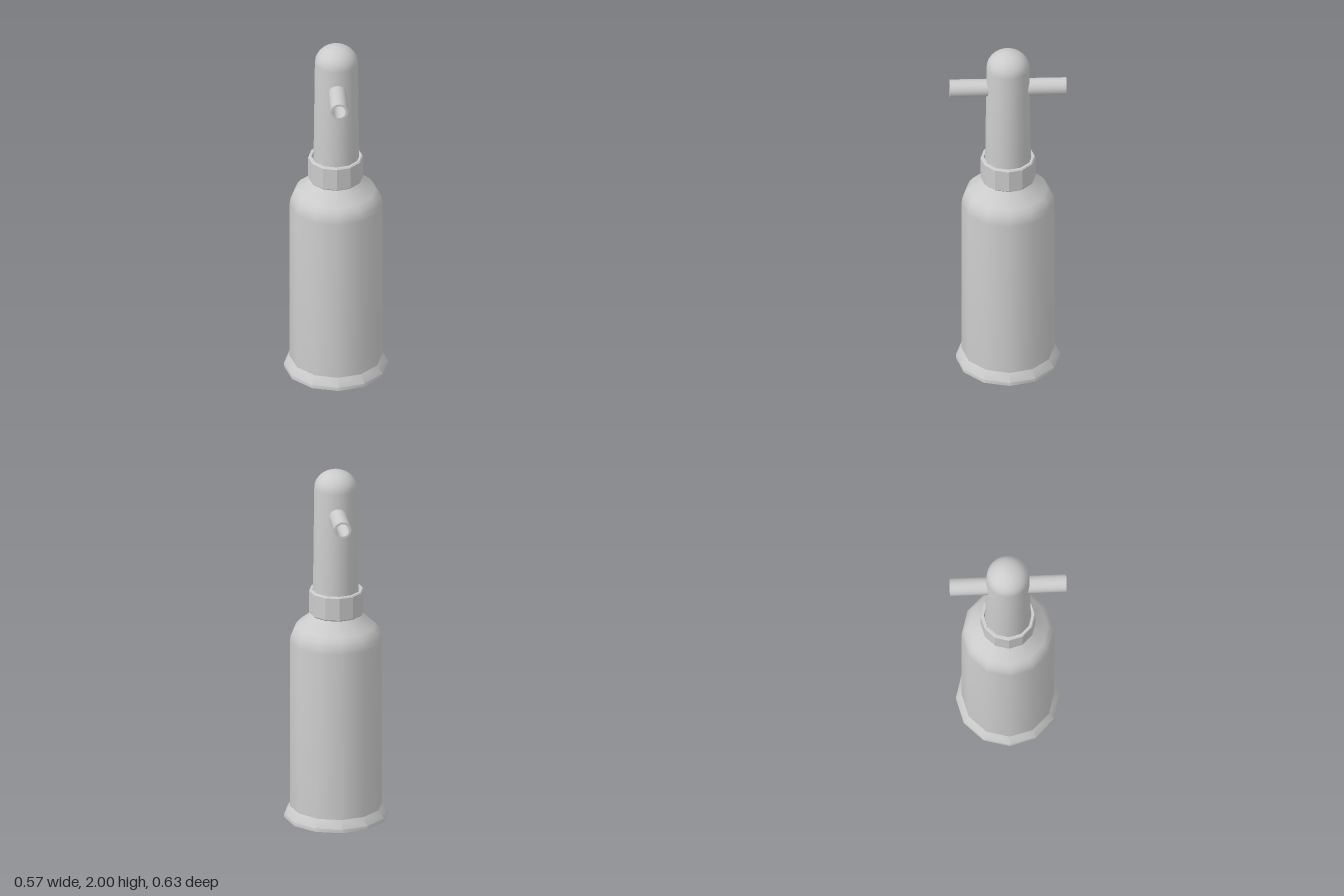
import * as THREE from 'three';
import { toCreasedNormals } from 'three/addons/utils/BufferGeometryUtils.js';

const material = new THREE.MeshStandardMaterial({ color: 0xcccccc });

// Turned part from [radius, height] points, with smooth sides and sharp rims
function turned(name, points, sides, crease = 0.6) {
  const profile = points.map(([r, y]) => new THREE.Vector2(r, y));
  const geometry = toCreasedNormals(new THREE.LatheGeometry(profile, sides), crease);
  const mesh = new THREE.Mesh(geometry, material);
  mesh.name = name;
  return mesh;
}

export function createModel() {
  const model = new THREE.Group();
  model.name = 'bottle';

  // Flared foot, hollow underneath
  model.add(turned('foot', [
    [0, 0.065], [0.22, 0.065], [0.262, 0], [0.283, 0], [0.283, 0.02], [0.252, 0.065],
  ], 12));

  // Body with rounded shoulder and short neck
  model.add(turned('body', [
    [0.252, 0.065], [0.252, 1.02], [0.248, 1.05], [0.235, 1.08], [0.215, 1.105],
    [0.13, 1.175], [0.12, 1.2],
  ], 12));

  // Faceted collar ring
  const collar = turned('collar', [
    [0.125, 1.18], [0.142, 1.175], [0.149, 1.182], [0.149, 1.308], [0.143, 1.315],
    [0.131, 1.315], [0.125, 1.28], [0.125, 1.18],
  ], 12, 0.3);
  collar.position.x = -0.002;
  model.add(collar);

  // Slightly tapered head with a domed top
  const dome = [];
  for (let i = 0; i <= 8; i++) {
    const a = (i / 8) * Math.PI / 2;
    dome.push([0.117 * Math.cos(a), 1.9 + 0.1 * Math.sin(a)]);
  }
  dome[8][0] = 0;
  const head = turned('head', [[0, 1.18], [0.124, 1.18], [0.124, 1.32], ...dome], 24);
  head.position.x = 0.002;
  model.add(head);

  // Open-ended pipe crossing the head
  const pipe = turned('crossPipe', [
    [0.048, -0.317], [0.048, 0.317], [0.036, 0.317], [0.036, -0.317], [0.048, -0.317],
  ], 20);
  pipe.rotation.x = Math.PI / 2;
  pipe.position.set(0.002, 1.77, 0);
  model.add(pipe);

  return model;
}
